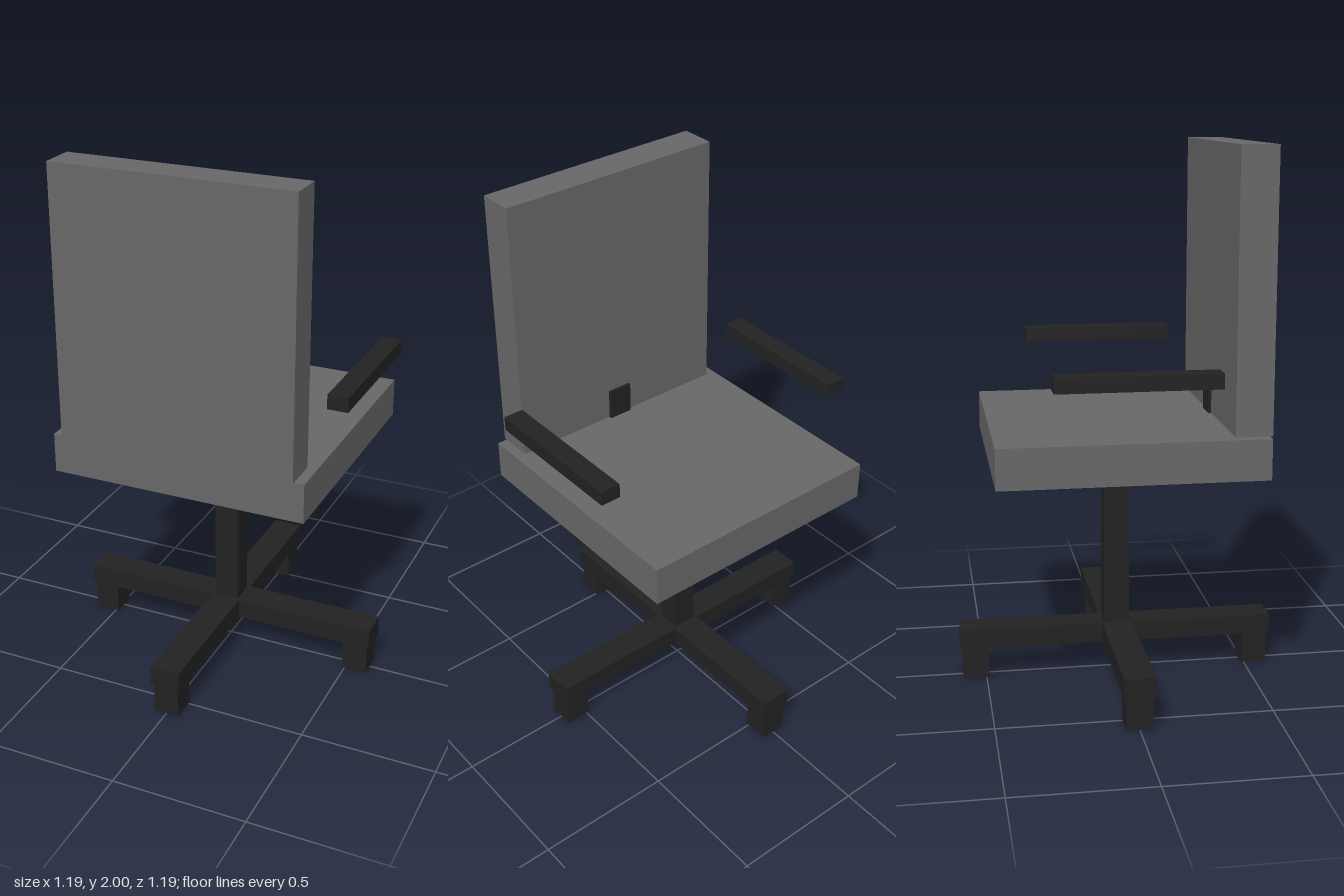
import * as THREE from 'three';

export function createModel() {
  const chair = new THREE.Group();
  chair.name = 'officeChair';

  const cushion = new THREE.MeshStandardMaterial({ color: 0x686869 });
  cushion.name = 'grey cushion';
  const frame = new THREE.MeshStandardMaterial({ color: 0x222222 });
  frame.name = 'black frame';

  // Box given by its centre in x and z, its bottom and its size
  function box(name, material, [w, h, d], [x, bottom, z]) {
    const mesh = new THREE.Mesh(new THREE.BoxGeometry(w, h, d), material);
    mesh.name = name;
    mesh.position.set(x, bottom + h / 2, z);
    chair.add(mesh);
    return mesh;
  }

  // Seat, backrest and the bracket joining them
  box('seat', cushion, [0.96, 0.148, 0.96], [0, 0.853, 0]);
  box('backrest', cushion, [0.886, 0.998, 0.134], [0, 1.002, 0.423]);
  box('backBracket', frame, [0.094, 0.22, 0.08], [0, 0.9, 0.385]);

  // Armrests
  for (const side of [1, -1]) {
    box(side > 0 ? 'leftArmrest' : 'rightArmrest', frame,
      [0.076, 0.054, 0.576], [side * 0.52, 1.198, 0]);
  }

  // Central column
  box('column', frame, [0.094, 0.663, 0.094], [0, 0.19, 0]);

  // Crossed base bars
  box('baseBarAcross', frame, [1.192, 0.075, 0.114], [0, 0.12, 0]);
  box('baseBarAlong', frame, [0.114, 0.075, 1.192], [0, 0.12, 0]);

  // Feet near the ends of the bars
  for (const [x, z] of [[1, 0], [-1, 0], [0, 1], [0, -1]]) {
    box('foot', frame, [0.096, 0.12, 0.096], [x * 0.538, 0, z * 0.538]);
  }

  return chair;
}
